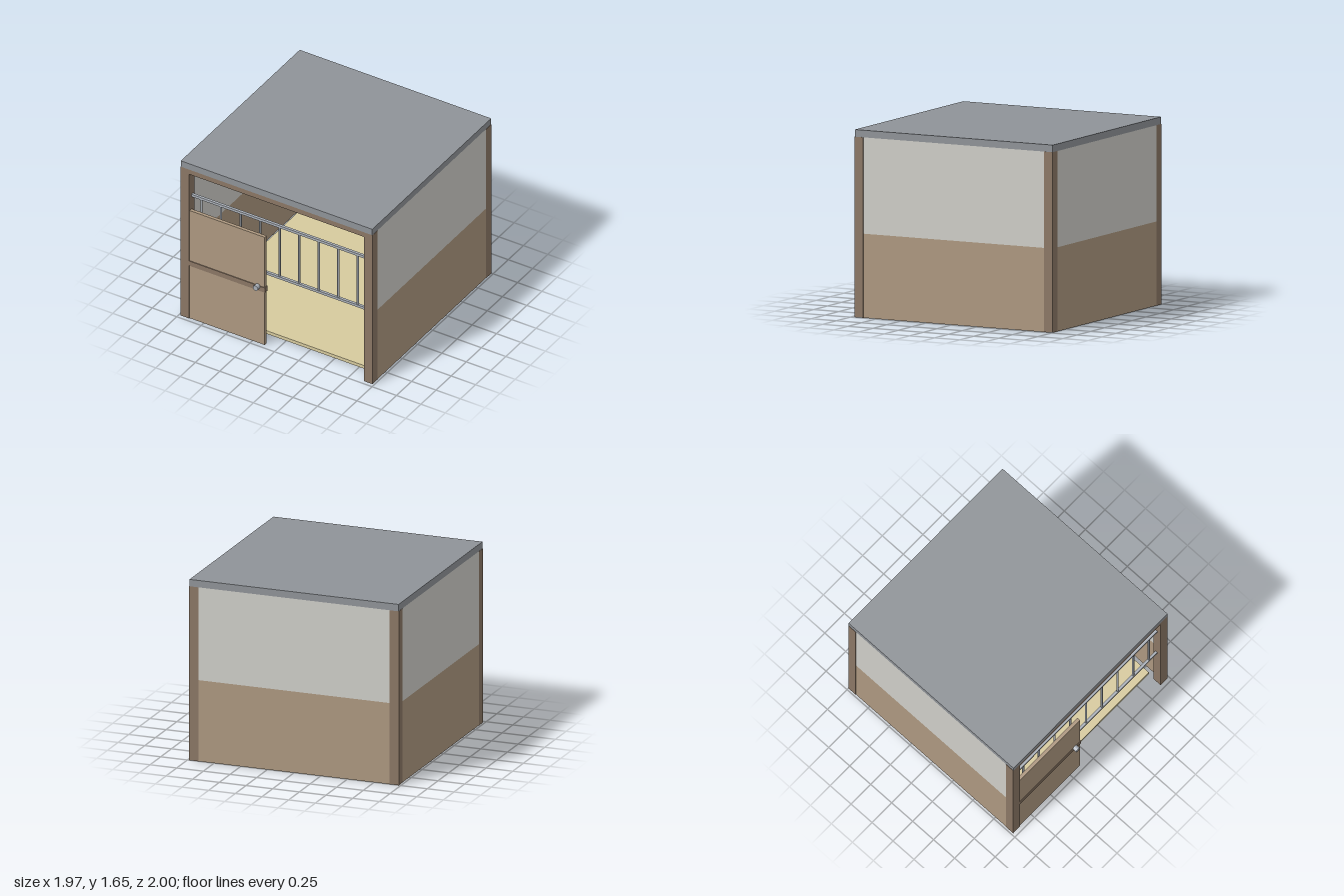
import * as THREE from 'three';

const mat = (color) => new THREE.MeshStandardMaterial({ color });

export function createModel() {
  const model = new THREE.Group();
  const frame = mat(0x8b7765), wood = mat(0xad9880), plaster = mat(0xcfcec8);
  const roofMat = mat(0x8f9398), metal = mat(0xaab0b8), straw = mat(0xd6ca9e);

  const add = (name, geometry, material, x, y, z) => {
    const mesh = new THREE.Mesh(geometry, material);
    mesh.name = name;
    mesh.position.set(x, y, z);
    model.add(mesh);
    return mesh;
  };
  // box given by its extents on each axis
  const box = (name, material, [x0, x1], [y0, y1], [z0, z1]) =>
    add(name, new THREE.BoxGeometry(x1 - x0, y1 - y0, z1 - z0), material,
      (x0 + x1) / 2, (y0 + y1) / 2, (z0 + z1) / 2);

  // corner posts and front lintel
  for (const s of [-1, 1]) {
    const xs = s > 0 ? [0.895, 0.983] : [-0.983, -0.895];
    box('frontPost', frame, xs, [0, 1.587], [0.88, 0.965]);
    box('backPost', frame, xs, [0, 1.587], [-1, -0.913]);
  }
  box('frontLintel', frame, [-0.895, 0.895], [1.537, 1.587], [0.88, 0.964]);

  // walls: timber below, pale panel above
  for (const [part, material, ys] of [['lowerWall', wood, [0, 0.74]], ['upperWall', plaster, [0.74, 1.587]]]) {
    box(part + 'Left', material, [0.94, 0.98], ys, [-0.913, 0.88]);
    box(part + 'Right', material, [-0.98, -0.94], ys, [-0.913, 0.88]);
    box(part + 'Back', material, [-0.895, 0.895], ys, [-0.998, -0.958]);
  }

  // roof slab and bedding floor
  box('roof', roofMat, [-0.98, 0.98], [1.587, 1.65], [-1, 0.965]);
  box('floor', straw, [-0.9, 0.9], [0.012, 0.045], [-0.9, 0.82]);

  // front grille: two rails and round bars
  box('topRail', metal, [-0.895, 0.895], [1.275, 1.3], [0.9, 0.925]);
  box('lowerRail', metal, [-0.895, 0.895], [0.73, 0.755], [0.9, 0.925]);
  const barGeometry = new THREE.CylinderGeometry(0.01, 0.01, 0.52, 8);
  for (let i = -4; i <= 4; i++) add('grilleBar', barGeometry, metal, i * 0.2, 1.015, 0.9125);

  // stable door with cross brace and knob
  box('door', wood, [-0.895, -0.125], [0, 1.147], [0.927, 0.958]);
  box('doorBrace', frame, [-0.895, -0.118], [0.563, 0.613], [0.92, 0.965]);
  add('doorKnob', new THREE.CylinderGeometry(0.026, 0.026, 0.04, 12), metal, -0.195, 0.604, 0.98)
    .rotation.x = Math.PI / 2;

  return model;
}
